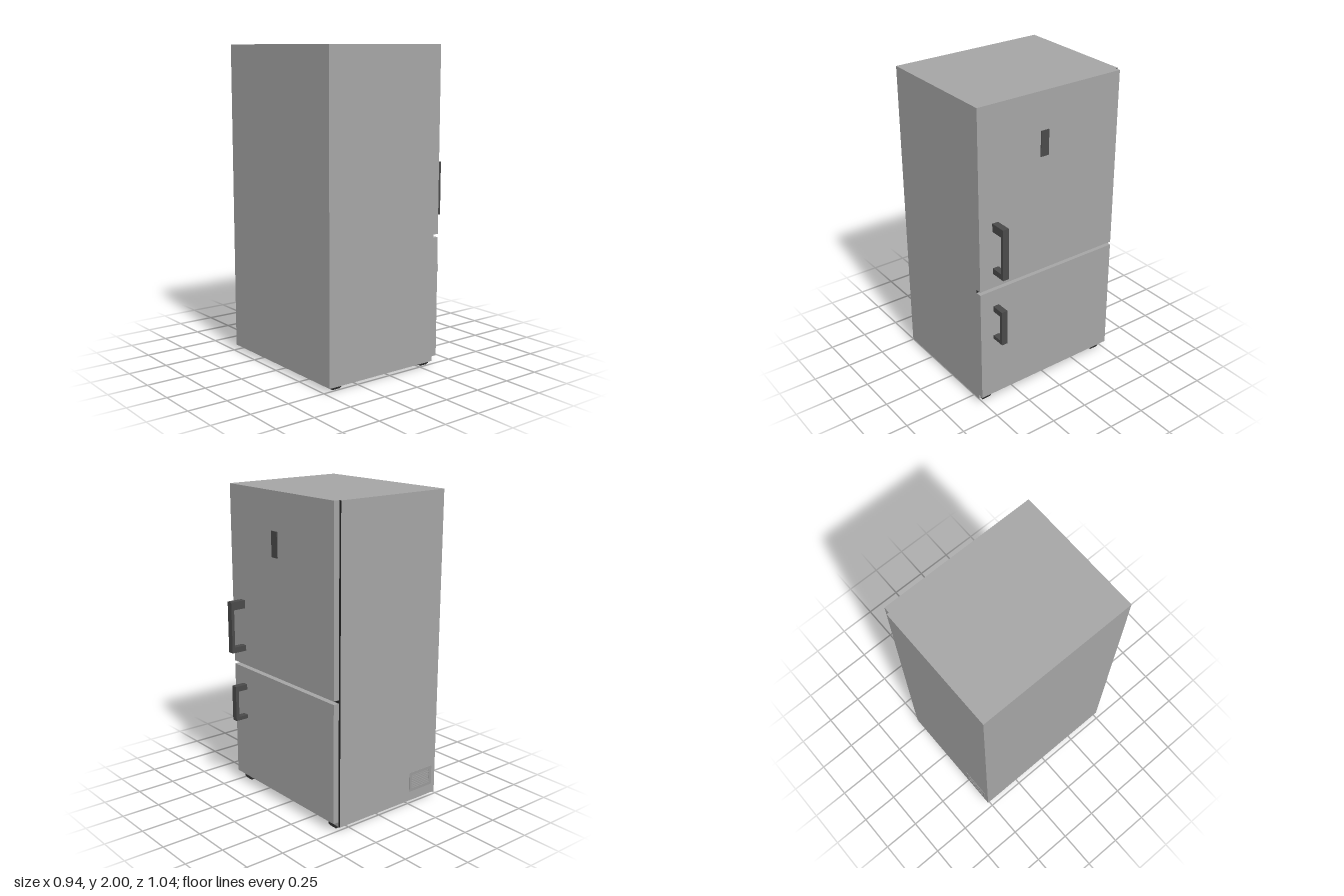
import * as THREE from 'three';

const paint = (color) => new THREE.MeshStandardMaterial({ color });
const grey = paint(0xa5a5a5);
const ventGrey = paint(0x999999);
const dark = paint(0x4a4a4a);
const footDark = paint(0x363636);
const black = paint(0x272727);

// Box given by its lower and upper corners
function box(name, [x0, y0, z0], [x1, y1, z1], material = grey) {
  const mesh = new THREE.Mesh(new THREE.BoxGeometry(x1 - x0, y1 - y0, z1 - z0), material);
  mesh.position.set((x0 + x1) / 2, (y0 + y1) / 2, (z0 + z1) / 2);
  mesh.name = name;
  return mesh;
}

const points = (pairs) => pairs.map(([x, y]) => new THREE.Vector2(x, y));

// Flat outline in x/y, extruded along z
function slab(name, shape, z, depth, material) {
  const mesh = new THREE.Mesh(
    new THREE.ExtrudeGeometry(shape, { depth, bevelEnabled: false }), material);
  mesh.position.z = z;
  mesh.name = name;
  return mesh;
}

// Bracket-shaped pull handle
function handle(name, y0, y1, xOut, grip, lowArm, highArm) {
  const x0 = 0.368;
  const shape = new THREE.Shape(points([
    [x0, y0], [xOut, y0], [xOut, y1], [x0, y1],
    [x0, y1 - highArm], [xOut - grip, y1 - highArm],
    [xOut - grip, y0 + lowArm], [x0, y0 + lowArm],
  ]));
  return slab(name, shape, 0.385, 0.041, dark);
}

// Rear ventilation grille: rim with a window of horizontal slats
function ventGrille() {
  const vent = new THREE.Group();
  vent.name = 'ventGrille';
  const [x0, x1, y0, y1, rim] = [-0.44, -0.245, 0.09, 0.22, 0.02];
  const outline = new THREE.Shape(points([[x0, y0], [x1, y0], [x1, y1], [x0, y1]]));
  outline.holes.push(new THREE.Path(points([
    [x0 + rim, y0 + rim], [x0 + rim, y1 - rim], [x1 - rim, y1 - rim], [x1 - rim, y0 + rim],
  ])));
  vent.add(slab('ventRim', outline, -0.518, 0.003, ventGrey));
  for (let i = 0; i < 7; i++) {
    const y = y0 + rim + 0.004 + i * 0.0125;
    vent.add(box('ventSlat', [x0 + rim, y, -0.517], [x1 - rim, y + 0.007, -0.515], ventGrey));
  }
  return vent;
}

export function createModel() {
  const fridge = new THREE.Group();
  fridge.name = 'refrigerator';

  // Cabinet: only its door-side face is black; a plinth covers that face below the doors
  const cabinetFaces = [black, grey, grey, grey, grey, grey];
  fridge.add(
    box('cabinet', [-0.472, 0.028, -0.515], [0.33, 2, 0.518], cabinetFaces),
    box('plinth', [0.33, 0.028, -0.5], [0.331, 0.058, 0.518]),
  );

  // Doors
  fridge.add(
    box('upperDoor', [0.33, 0.842, -0.5], [0.368, 2, 0.518]),
    box('lowerDoor', [0.33, 0.058, -0.5], [0.368, 0.821, 0.518]),
    box('displayPanel', [0.368, 1.6, 0.025], [0.373, 1.76, 0.082], dark),
    handle('upperHandle', 0.94, 1.275, 0.472, 0.02, 0.037, 0.053),
    handle('lowerHandle', 0.475, 0.71, 0.457, 0.022, 0.024, 0.036),
  );

  // Square feet with a chamfered base
  const footProfile = points([[0, 0], [0.026, 0], [0.034, 0.012], [0.035, 0.028]]
    .map(([r, y]) => [r * Math.SQRT2, y]));
  const footGeometry = new THREE.LatheGeometry(footProfile, 4, Math.PI / 4).toNonIndexed();
  footGeometry.computeVertexNormals();
  for (const x of [-0.4, 0.295]) {
    for (const z of [-0.44, 0.458]) {
      const foot = new THREE.Mesh(footGeometry, footDark);
      foot.position.set(x, 0, z);
      foot.name = 'foot';
      fridge.add(foot);
    }
  }

  fridge.add(ventGrille());
  return fridge;
}
